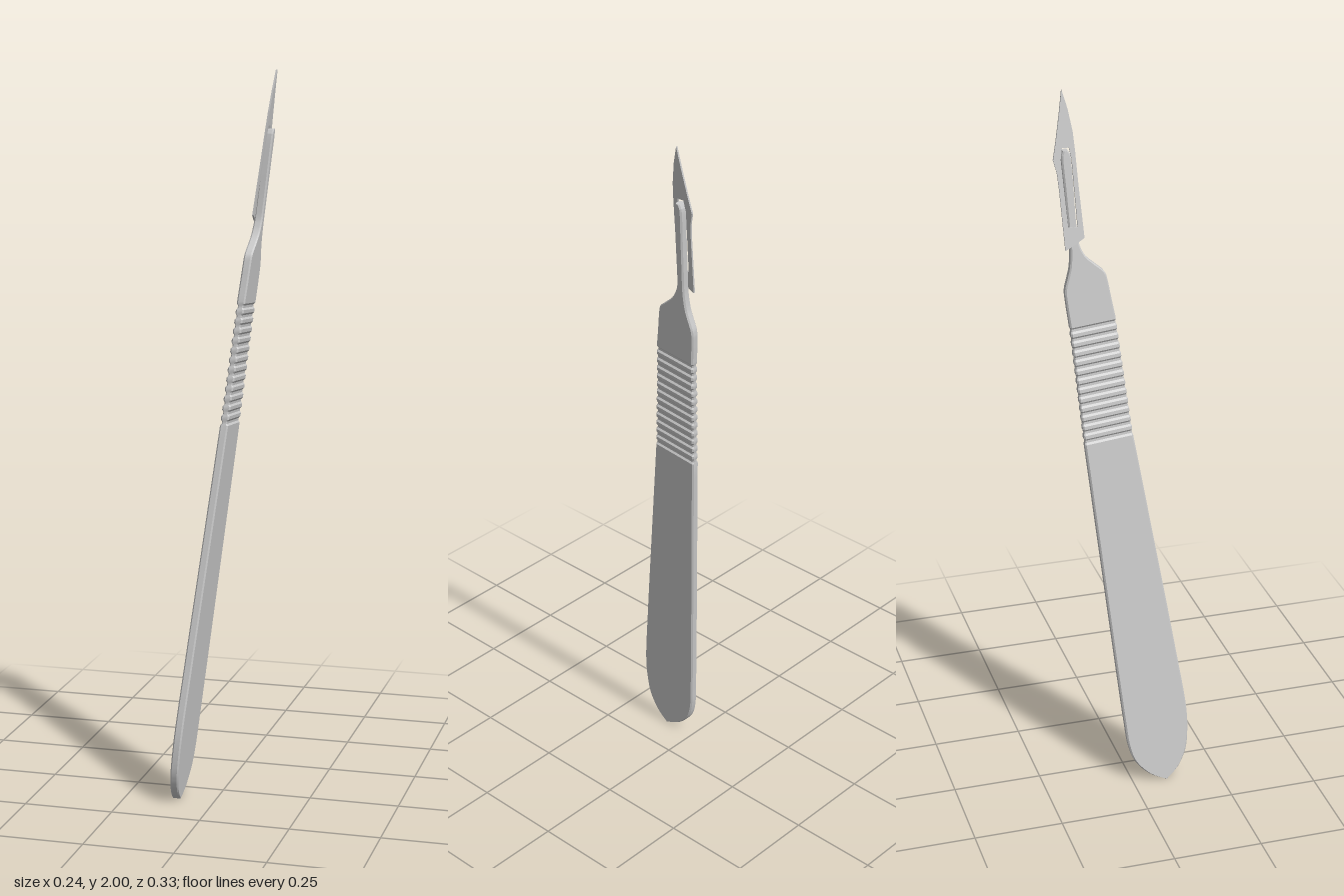
import * as THREE from 'three';
import { toCreasedNormals } from 'three/addons/utils/BufferGeometryUtils.js';

const material = new THREE.MeshStandardMaterial({ color: 0xcccccc, side: THREE.DoubleSide });
const leanX = (y) => -0.108 + 0.1115 * y; // the flat handle leans toward +x
const HALF = 0.0115;

// Smooth run of stations through rows of [y, front edge z, back edge z]
function run(rows, steps) {
  const curve = new THREE.CatmullRomCurve3(rows.map(([y, a, b]) => new THREE.Vector3(a, y, b)), false, 'centripetal');
  return curve.getPoints(steps).map((p) => ({ y: p.y, a: p.x, b: p.z, h: HALF }));
}

// Chamfered eight-sided section, square to the handle axis
function ring({ y, a, b, h }) {
  const c = Math.max(0, Math.min(0.004, h * 0.4, (a - b) * 0.3));
  const mid = (a + b) / 2;
  return [
    [a, -h + c], [a, h - c], [a - c, h], [b + c, h],
    [b, h - c], [b, -h + c], [b + c, -h], [a - c, -h],
  ].map(([z, x]) => {
    const py = y + 0.1 * (z - mid);
    return [leanX(py) + x, py, z];
  });
}

function loft(stations) {
  const rings = stations.map(ring);
  const index = [];
  for (let i = 0; i < rings.length - 1; i++) {
    for (let j = 0; j < 8; j++) {
      const k = (j + 1) % 8;
      const p = i * 8 + j, q = i * 8 + k;
      index.push(p, q, q + 8, p, q + 8, p + 8);
    }
  }
  const geo = new THREE.BufferGeometry();
  geo.setAttribute('position', new THREE.Float32BufferAttribute(rings.flat(2), 3));
  geo.setIndex(index);
  return toCreasedNormals(geo, 0.5);
}

function makeHandle() {
  // Rounded butt widening, then tapering up to the grip
  const lower = run([
    [0, 0.1, 0.096], [0.012, 0.117, 0.072], [0.035, 0.138, 0.04], [0.08, 0.158, 0.004], [0.13, 0.164, -0.012],
    [0.2, 0.163, -0.021], [0.4, 0.134, -0.042], [0.7, 0.086, -0.072], [1.04, 0.031, -0.106],
  ], 60);

  // Grip: evenly spaced cross grooves on both faces
  const grip = [];
  const y0 = 1.04, y1 = 1.38, count = 13;
  const pitch = (y1 - y0) / count;
  for (let i = 0; i < count; i++) {
    for (const [f, depth] of [[0.1, 0], [0.3, 0.004], [0.55, 0.004], [0.75, 0]]) {
      const y = y0 + (i + f) * pitch;
      const t = (y - y0) / (y1 - y0);
      grip.push({
        y,
        a: THREE.MathUtils.lerp(0.031, -0.008, t) - depth * 0.4,
        b: THREE.MathUtils.lerp(-0.106, -0.135, t) + depth * 0.4,
        h: HALF - depth,
      });
    }
  }

  // Shoulder, neck and the narrow tongue that carries the blade
  const upper = run([
    [1.38, -0.008, -0.135], [1.44, -0.019, -0.142], [1.475, -0.025, -0.144], [1.505, -0.033, -0.136],
    [1.53, -0.058, -0.129], [1.555, -0.083, -0.126], [1.59, -0.1, -0.125], [1.64, -0.106, -0.128],
    [1.74, -0.11, -0.134], [1.82, -0.114, -0.139], [1.833, -0.116, -0.138], [1.842, -0.121, -0.134],
  ], 50);
  const end = { ...upper[upper.length - 1], h: 0 };
  return new THREE.Mesh(loft([...lower, ...grip, ...upper, end]), material);
}

function makeBlade() {
  // Outline as [z, y]: pointed tip, belly, slanted heel
  const flip = (pts) => pts.map(([z, y]) => new THREE.Vector2(-z, y));
  const shape = new THREE.Shape(flip([
    [-0.131, 2.0], [-0.117, 1.95], [-0.106, 1.89], [-0.102, 1.84], [-0.097, 1.75], [-0.087, 1.61],
    [-0.111, 1.595], [-0.14, 1.58], [-0.149, 1.74], [-0.153, 1.785], [-0.162, 1.82], [-0.152, 1.87], [-0.14, 1.94],
  ]));
  // Slot around the tongue
  shape.holes.push(new THREE.Path(flip([
    [-0.104, 1.64], [-0.13, 1.64], [-0.142, 1.82], [-0.137, 1.85], [-0.118, 1.85], [-0.112, 1.82],
  ])));
  const geo = new THREE.ExtrudeGeometry(shape, { depth: 0.005, bevelEnabled: false });
  geo.rotateY(Math.PI / 2);
  // Lean the blade slightly more than the handle so its tip meets the handle's centre line
  geo.applyMatrix4(new THREE.Matrix4().set(1, 0.1375, 0, -0.1645, 0, 1, 0, 0, 0, 0, 1, 0, 0, 0, 0, 1));
  return new THREE.Mesh(geo, material);
}

export function createModel() {
  const group = new THREE.Group();
  group.name = 'scalpel';
  const handle = makeHandle();
  handle.name = 'handle';
  const blade = makeBlade();
  blade.name = 'blade';
  group.add(handle, blade);
  return group;
}
